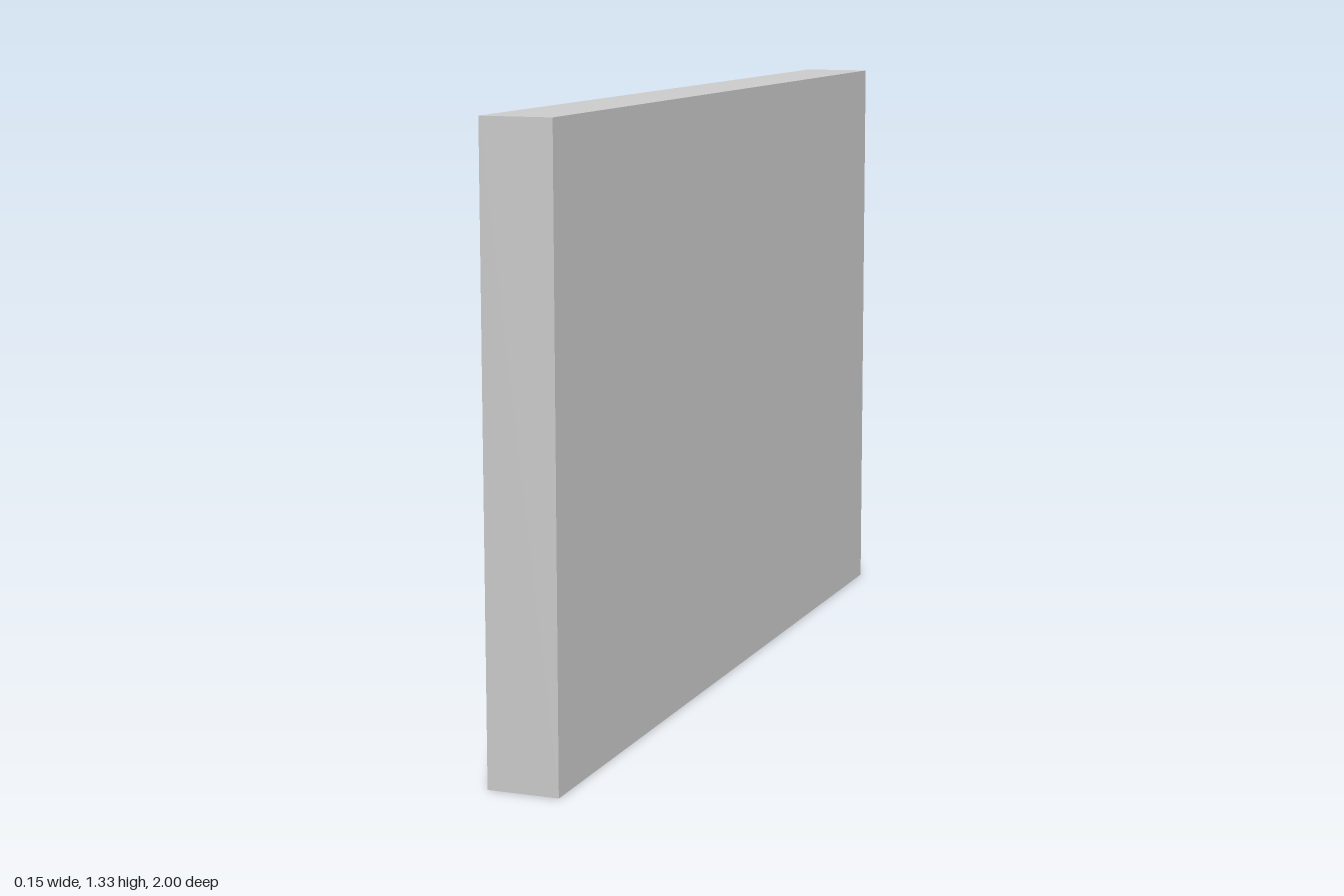
import * as THREE from 'three';

const HEIGHT = 1.333, HALF_X = 0.077, HALF_Z = 1;
const STEP = (2 * HALF_X) / 3; // depth of the bevel, of the inner wall and of the panel

// Rectangular section at a given x, inset from the outer edge; counter-clockwise seen from -x
function section(x, insetZ, insetY) {
  const z = HALF_Z - insetZ, low = insetY, high = HEIGHT - insetY;
  return [[x, low, -z], [x, low, z], [x, high, z], [x, high, -z]];
}

// Flat-shaded surface made of four-cornered faces
function faces(name, quads, material) {
  const points = quads.flatMap(([a, b, c, d]) => [a, b, c, a, c, d]).flat();
  const geometry = new THREE.BufferGeometry();
  geometry.setAttribute('position', new THREE.Float32BufferAttribute(points, 3));
  geometry.computeVertexNormals();
  const mesh = new THREE.Mesh(geometry, material);
  mesh.name = name;
  return mesh;
}

// Four faces joining two sections
function band(a, b) {
  return a.map((p, i) => {
    const j = (i + 1) % a.length;
    return [p, a[j], b[j], b[i]];
  });
}

export function createModel() {
  const material = new THREE.MeshStandardMaterial({ color: 0xcccccc, flatShading: true });
  const group = new THREE.Group();
  group.name = 'framedPanel';

  const back = section(HALF_X, 0, 0);
  const edge = section(-HALF_X, 0, 0);
  const opening = section(-HALF_X, 0.05, 0.073);
  const bevelEnd = section(-HALF_X + STEP, 0.156, 0.152);
  const recess = section(-HALF_X + 2 * STEP, 0.156, 0.152);

  // Frame: outer sides, flat rim, sloping bevel, straight inner wall
  const frame = new THREE.Group();
  frame.name = 'frame';
  frame.add(
    faces('outerSides', band(back, edge), material),
    faces('rim', band(edge, opening), material),
    faces('bevel', band(opening, bevelEnd), material),
    faces('innerWall', band(bevelEnd, recess), material),
  );

  // Recessed panel on the -x side and plain panel on the +x side
  group.add(
    frame,
    faces('recessedPanel', [recess], material),
    faces('backPanel', [[...back].reverse()], material),
  );
  return group;
}
